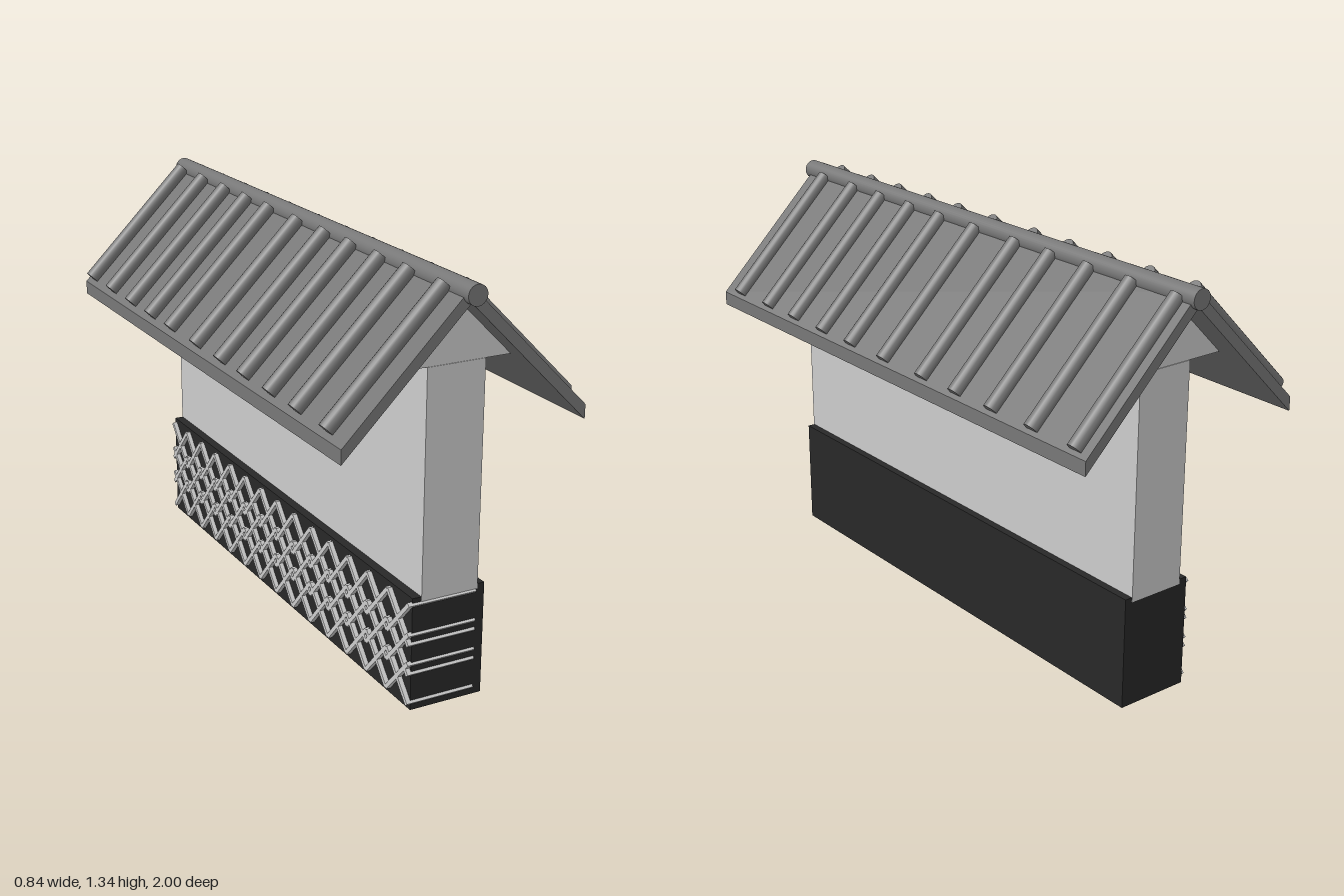
import * as THREE from 'three';

export function createModel() {
  const model = new THREE.Group();
  const plaster = new THREE.MeshStandardMaterial({ color: 0xcccccc });
  const tile = new THREE.MeshStandardMaterial({ color: 0x777777 });
  const stone = new THREE.MeshStandardMaterial({ color: 0x282828 });

  function add(name, geometry, material, parent = model) {
    const mesh = new THREE.Mesh(geometry, material);
    mesh.name = name;
    parent.add(mesh);
    return mesh;
  }
  function group(name) {
    const g = new THREE.Group();
    g.name = name;
    model.add(g);
    return g;
  }
  // Box given by its minimum and maximum corners
  function block(name, x0, x1, y0, y1, z0, z1, material) {
    const mesh = add(name, new THREE.BoxGeometry(x1 - x0, y1 - y0, z1 - z0), material);
    mesh.position.set((x0 + x1) / 2, (y0 + y1) / 2, (z0 + z1) / 2);
  }
  // Profile in x and y, extruded from z0 to z1
  function prism(name, points, z0, z1, material, parent) {
    const shape = new THREE.Shape(points.map(([x, y]) => new THREE.Vector2(x, y)));
    const geometry = new THREE.ExtrudeGeometry(shape, { depth: z1 - z0, bevelEnabled: false });
    add(name, geometry.translate(0, 0, z0), material, parent);
  }

  // Plinth, wall and gable
  block('base', -0.11, 0.14, 0, 0.37, -0.88, 0.88, stone);
  block('wall', -0.08, 0.115, 0.355, 1.08, -0.882, 0.882, plaster);
  prism('gable', [[-0.2, 1.08], [0.23, 1.08], [0.005, 1.29]], -0.88, 0.88, plaster);

  // Lattice: three overlapping rows of crossed zigzag slats set through the base
  const lattice = group('lattice');
  const steps = 14, zStart = -0.87, zEnd = 0.881, rise = 0.138;
  const run = (zEnd - zStart) / steps;
  const slat = new THREE.BoxGeometry(0.235, 0.014, Math.hypot(run, rise));
  for (const y of [0.09, 0.187, 0.285]) {
    for (let i = 0; i < steps; i++) {
      for (const side of [-1, 1]) {
        const mesh = add('latticeSlat', slat, plaster, lattice);
        mesh.position.set(-0.0075, y, zStart + (i + 0.5) * run);
        mesh.rotation.x = side * Math.atan2(rise, run);
      }
    }
  }

  // Two roof slopes, with the eave edges cut upright
  const roof = group('roof');
  for (const side of [-1, 1]) {
    const points = [[0, 1.28], [side * 0.405, 0.876], [side * 0.405, 0.922], [0, 1.327]];
    prism('roofSlope', points, -0.985, 0.975, tile, roof);
  }

  // Round tile ribs running down each slope
  const ribs = group('roofRibs');
  const ribZ = [0.88, 0.693, 0.525, 0.35, 0.182, -0.005, -0.21, -0.38, -0.555, -0.74, -0.928];
  const ribGeometry = new THREE.CylinderGeometry(0.025, 0.025, 0.523, 20);
  for (const z of ribZ) {
    for (const side of [-1, 1]) {
      const rib = add('roofRib', ribGeometry, tile, ribs);
      rib.position.set(side < 0 ? -0.217 : 0.213, side < 0 ? 1.133 : 1.122, z);
      rib.rotation.z = side * Math.PI / 4;
    }
  }

  // Ridge pole
  const ridge = add('ridge', new THREE.CylinderGeometry(0.032, 0.032, 2, 32), tile);
  ridge.rotation.x = Math.PI / 2;
  ridge.position.set(0.003, 1.308, 0);

  return model;
}
